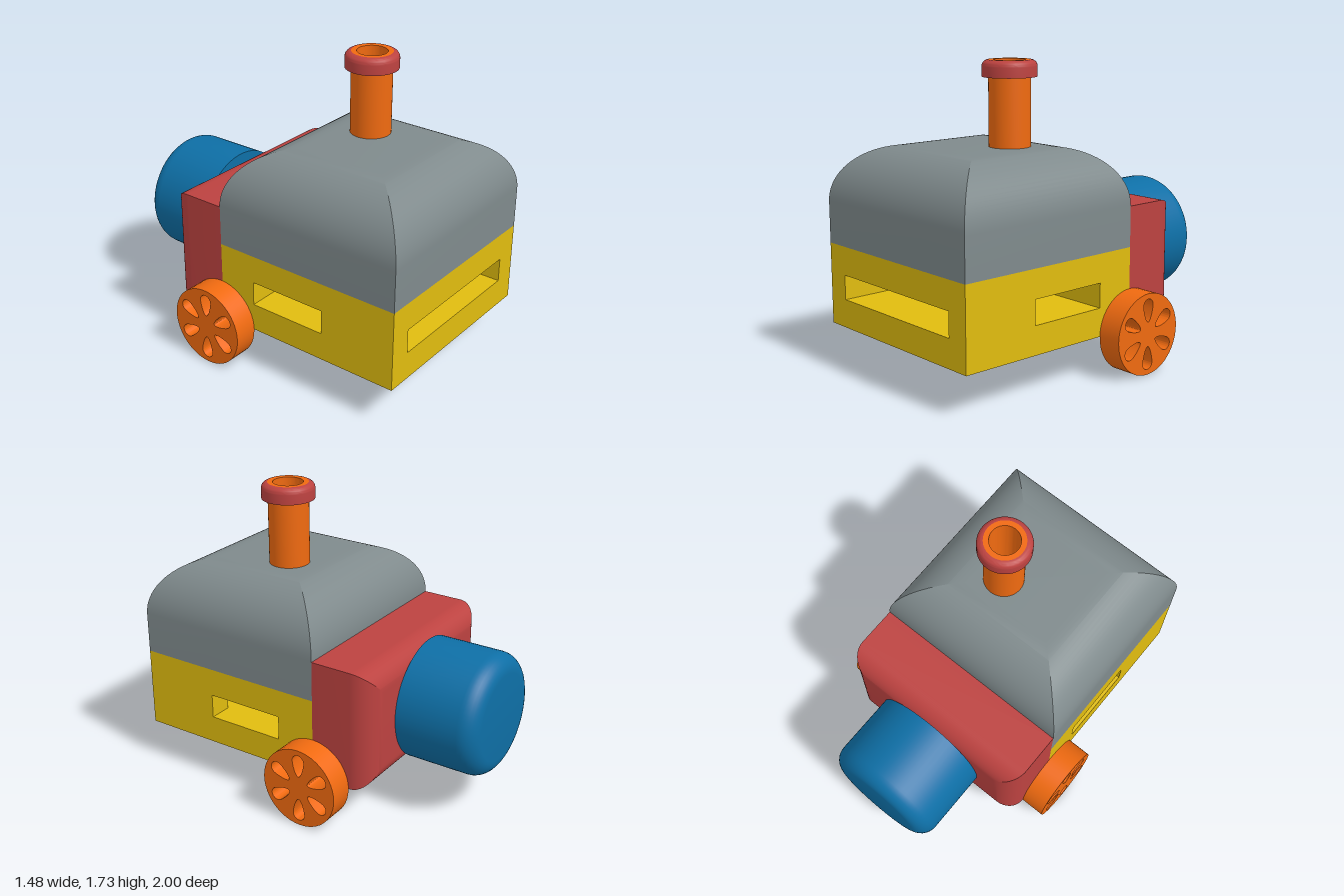
import * as THREE from 'three';
import { toCreasedNormals } from 'three/addons/utils/BufferGeometryUtils.js';

const mat = (color) => new THREE.MeshStandardMaterial({ color, side: THREE.DoubleSide });
const YELLOW = mat(0xe0bc0f), GREY = mat(0x7f8a8c), RED = mat(0xbc4240);
const BLUE = mat(0x0e6fa6), ORANGE = mat(0xf06a10);

function add(parent, name, geometry, material, x = 0, y = 0, z = 0) {
  const mesh = new THREE.Mesh(geometry, material);
  mesh.name = name;
  mesh.position.set(x, y, z);
  parent.add(mesh);
  return mesh;
}

// Box given by its minimum and maximum corners
function addBox(parent, name, [x0, y0, z0], [x1, y1, z1], material) {
  add(parent, name, new THREE.BoxGeometry(x1 - x0, y1 - y0, z1 - z0), material,
    (x0 + x1) / 2, (y0 + y1) / 2, (z0 + z1) / 2);
}

// Block standing on y = 0 whose four upper edges are rounded and meet in mitres
function domedBlock(w, h, d, r, steps = 20) {
  const rows = [[0, 0]]; // [inset, height]
  for (let i = 0; i <= steps; i++) {
    const a = (i / steps) * Math.PI / 2;
    rows.push([r * (1 - Math.cos(a)), h - r + r * Math.sin(a)]);
  }
  const corners = [[-1, 1], [1, 1], [1, -1], [-1, -1]];
  const point = ([sx, sz], [inset, y]) => [sx * (w / 2 - inset), y, sz * (d / 2 - inset)];
  const pos = [], quad = (a, b, c, e) => pos.push(...a, ...b, ...c, ...a, ...c, ...e);
  corners.forEach((c0, k) => {
    const c1 = corners[(k + 1) % 4];
    for (let i = 0; i < rows.length - 1; i++) {
      quad(point(c0, rows[i]), point(c1, rows[i]), point(c1, rows[i + 1]), point(c0, rows[i + 1]));
    }
  });
  const top = rows[rows.length - 1];
  quad(...corners.map((c) => point(c, top)));
  quad(...[...corners].reverse().map((c) => point(c, rows[0])));
  const g = new THREE.BufferGeometry();
  g.setAttribute('position', new THREE.Float32BufferAttribute(pos, 3));
  return toCreasedNormals(g, 0.3);
}

// Lathe with crisp corners; an arc entry rounds a corner with radius r
function turned(points, segments = 64) {
  const pts = points.map(([x, y]) => new THREE.Vector2(x, y));
  return toCreasedNormals(new THREE.LatheGeometry(pts, segments), 0.5);
}
function roundCorner(x, y, r, n = 8) {
  return Array.from({ length: n + 1 }, (_, i) => {
    const a = (i / n) * Math.PI / 2;
    return [x - r + r * Math.cos(a), y - r + r * Math.sin(a)];
  });
}

// Disc wheel pierced by six teardrop openings
function wheelGeometry(radius, width) {
  const shape = new THREE.Shape().absarc(0, 0, radius, 0, Math.PI * 2);
  const tip = 0.07, mid = 0.165, r = 0.037;
  for (let k = 0; k < 6; k++) {
    const a = Math.PI / 2 + k * Math.PI / 3;
    const at = (u, v) => [u * Math.cos(a) - v * Math.sin(a), u * Math.sin(a) + v * Math.cos(a)];
    const hole = new THREE.Path().moveTo(...at(tip, 0));
    hole.bezierCurveTo(...at(tip, -0.017), ...at(mid - 0.03, -r), ...at(mid, -r));
    hole.absarc(...at(mid, 0), r, a - Math.PI / 2, a + Math.PI / 2);
    hole.bezierCurveTo(...at(mid - 0.03, r), ...at(tip, 0.017), ...at(tip, 0));
    shape.holes.push(hole);
  }
  const g = new THREE.ExtrudeGeometry(shape, { depth: width, bevelEnabled: false, curveSegments: 24 });
  g.translate(0, 0, -width / 2).rotateY(Math.PI / 2);
  return toCreasedNormals(g, 0.6);
}

export function createModel() {
  const model = new THREE.Group();
  model.name = 'toyEngine';

  // Cab base with a front slot opening into a slot that crosses from side to side
  const base = new THREE.Group();
  base.name = 'cabBase';
  model.add(base);
  const back = -0.16, front = 1, w = 0.6, low = 0.397, high = 0.537;
  addBox(base, 'cabFloor', [-w, 0.235, back], [w, low, front], YELLOW);
  addBox(base, 'cabLintel', [-w, high, back], [w, 0.7, front], YELLOW);
  addBox(base, 'cabRearWall', [-w, low, back], [w, high, 0.07], YELLOW);
  addBox(base, 'rightCornerPost', [-w, low, 0.54], [-0.465, high, front], YELLOW);
  addBox(base, 'leftCornerPost', [0.465, low, 0.54], [w, high, front], YELLOW);

  // Rounded roof
  add(model, 'roof', domedBlock(1.2, 0.557, 1.16, 0.32), GREY, 0, 0.7, 0.42);

  // Rear housing with its rounded edges towards the back
  const housing = add(model, 'rearHousing', domedBlock(1.2, 0.37, 0.695, 0.13), RED, 0, 0.5825, back);
  housing.rotation.x = -Math.PI / 2;

  // Boiler drum
  const drum = add(model, 'drum',
    turned([[0, 0], [0.35, 0], ...roundCorner(0.35, 0.47, 0.1), [0, 0.47]]), BLUE, 0, 0.5825, -0.53);
  drum.rotation.x = -Math.PI / 2;

  // Hollow chimney and its collar
  add(model, 'chimney', turned([[0.115, 0], [0.115, 0.469], [0.085, 0.469], [0.085, 0.005], [0, 0.005]]),
    ORANGE, 0.138, 1.256, 0.31);
  add(model, 'chimneyCollar',
    turned([[0.115, 0], [0.15, 0], ...roundCorner(0.15, 0.091, 0.035), [0.115, 0.091]]),
    RED, 0.138, 1.634, 0.31);

  // Wheels
  const wheel = wheelGeometry(0.232, 0.142);
  for (const [name, side] of [['leftWheel', 1], ['rightWheel', -1]]) {
    add(model, name, wheel, ORANGE, side * 0.671, 0.232, -0.163);
  }
  return model;
}
